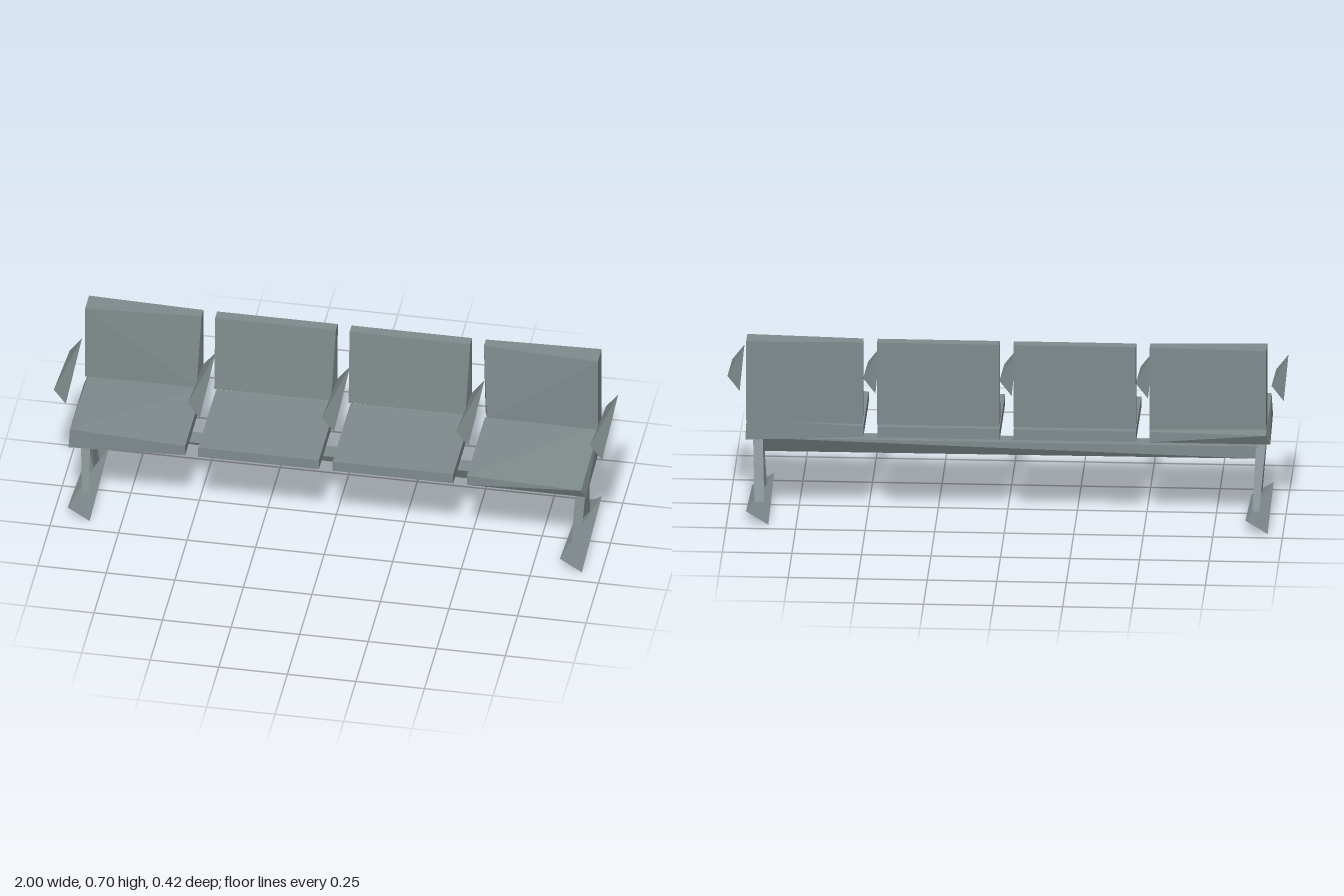
import * as THREE from 'three';
import { ConvexGeometry } from 'three/addons/geometries/ConvexGeometry.js';

export function createModel() {
  const model = new THREE.Group();
  model.name = 'rowSeating';
  const grey = new THREE.MeshStandardMaterial({ color: 0x808b8d });
  grey.name = 'slate grey';

  // Faceted solid spanned by a few corner points
  const solid = (name, points) => {
    const mesh = new THREE.Mesh(
      new ConvexGeometry(points.map((p) => new THREE.Vector3(...p))), grey);
    mesh.name = name;
    model.add(mesh);
  };

  // Wedge on four alternating corners of a box
  const wedge = (name, x0, x1, y0, y1, z0, z1) =>
    solid(name, [[x1, y0, z1], [x1, y1, z0], [x0, y1, z1], [x0, y0, z0]]);

  // Seat cushions: two plain inner ones
  for (const [x0, x1] of [[-0.47, -0.03], [0.02, 0.46]]) {
    const corners = [];
    for (const x of [x0, x1]) for (const y of [0.33, 0.37]) for (const z of [-0.175, 0.19]) {
      corners.push([x, y, z]);
    }
    solid('seat', corners);
  }

  // End cushions: twisted at the outer side, one is the other turned half round
  const endSeat = [
    [0.51, 0.33, 0.19], [0.51, 0.37, 0.19], [0.51, 0.33, -0.175], [0.51, 0.37, -0.175],
    [0.93, 0.37, 0.21], [0.945, 0.33, 0.19], [0.93, 0.392, -0.175], [0.935, 0.312, -0.175],
  ];
  solid('endSeat', endSeat);
  solid('endSeat', endSeat.map(([x, y, z]) => [-x - 0.008, y, 0.015 - z]));

  // Backrests: a leaning section, squared off and thicker at the outer ends
  const leaning = [[0.7, -0.195], [0.7, -0.155], [0.4, -0.135], [0.385, -0.19]];
  const upright = [[0.7, -0.21], [0.7, -0.13], [0.4, -0.13], [0.4, -0.21]];
  const backs = [
    [-0.94, -0.52, upright, leaning, 0, -0.014],
    [-0.47, -0.03, leaning, leaning, 0, -0.014],
    [0.02, 0.46, leaning, leaning, 0, -0.014],
    [0.51, 0.93, leaning, upright, 0.014, 0],
  ];
  for (const [x0, x1, left, right, inset0, inset1] of backs) {
    const end = (x, profile, inset) =>
      profile.map(([y, z], i) => [x + (i === 2 ? inset : 0), y, z]);
    solid('backrest', [...end(x0, left, inset0), ...end(x1, right, inset1)]);
  }

  // Armrests
  for (const x of [-0.978, -0.49, 0, 0.49, 0.978]) {
    wedge('armrest', x - 0.022, x + 0.022, 0.49, 0.547, -0.155, 0.173);
  }

  // Beam under the seats
  solid('beam', [
    [-0.9, 0.27, 0.025], [-0.9, 0.27, -0.04], [-0.9, 0.225, -0.04],
    [0.9, 0.27, 0.025], [0.9, 0.27, -0.04], [0.89, 0.207, -0.005],
  ]);

  // Feet
  for (const x of [-0.905, 0.89]) wedge('foot', x - 0.04, x + 0.04, 0, 0.05, -0.21, 0.196);

  // A-frame legs: slim triangular struts
  const strut = (name, xTop, xBottom, top, bottom) => {
    const section = ([[ya, za], [yb, zb]], [x0, x1]) =>
      [[x0, ya, za], [x1, ya, za], [(x0 + x1) / 2, yb, zb]];
    solid(name, [...section(top, xTop), ...section(bottom, xBottom)]);
  };
  const rightX = [[0.88, 0.915], [0.87, 0.905]];
  const leftX = [[-0.93, -0.895], [-0.91, -0.885]];
  strut('frontLeg', ...rightX, [[0.28, 0.017], [0.29, -0.01]], [[0.05, 0.072], [0.037, 0.05]]);
  strut('frontLeg', ...leftX, [[0.265, 0.02], [0.28, -0.005]], [[0.05, 0.096], [0.045, 0.06]]);
  for (const xs of [rightX, leftX]) {
    strut('backLeg', ...xs, [[0.295, -0.03], [0.285, -0.005]], [[0.05, -0.112], [0.05, -0.063]]);
  }
  return model;
}
